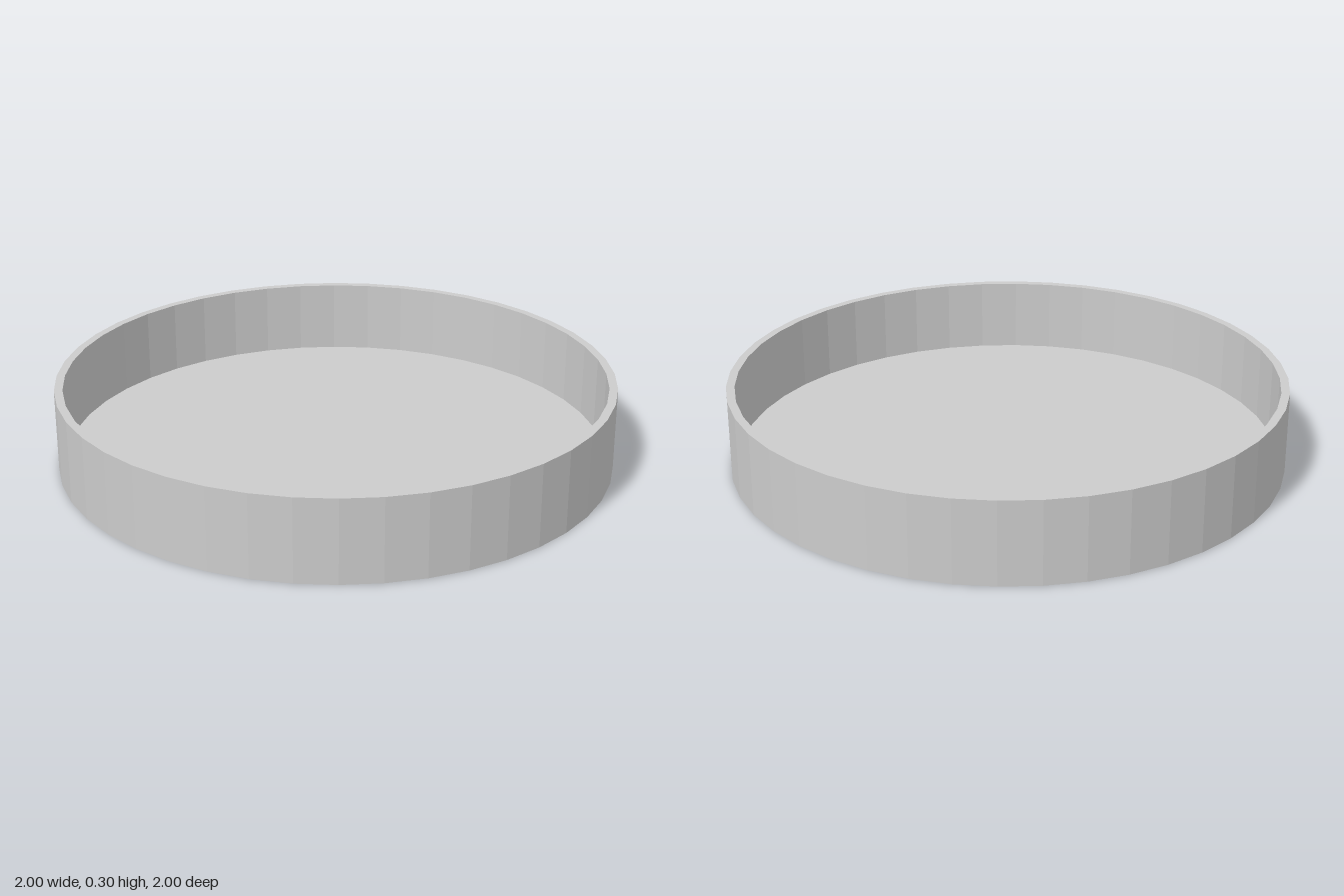
import * as THREE from 'three';

const SIDES = 44;
const RADIUS = 1;
const HEIGHT = 0.3;
const WALL = 0.03;
const FLOOR = 0.03;

export function createModel() {
  const group = new THREE.Group();
  group.name = 'roundTray';

  // Closed cross-section: underside, outer wall, rim, inner wall, floor
  const profile = [
    [0, 0],
    [RADIUS, 0],
    [RADIUS, HEIGHT],
    [RADIUS - WALL, HEIGHT],
    [RADIUS - WALL, FLOOR],
    [0, FLOOR],
  ].map(([r, y]) => new THREE.Vector2(r, y));

  const tray = new THREE.Mesh(
    new THREE.LatheGeometry(profile, SIDES),
    new THREE.MeshStandardMaterial({ color: 0xcccccc, flatShading: true })
  );
  tray.name = 'trayBody';
  group.add(tray);

  return group;
}
